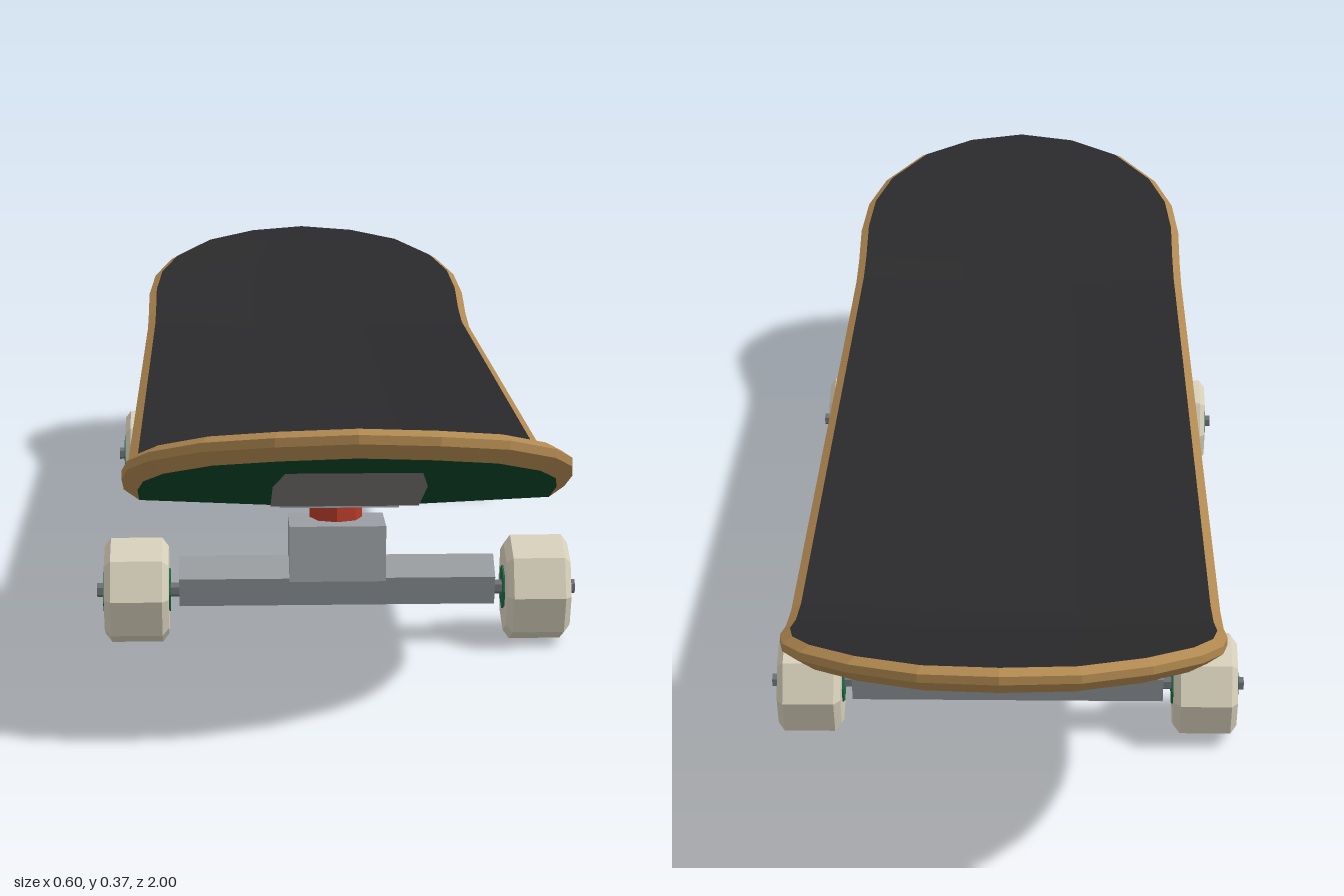
import * as THREE from 'three';

const mat = (color) => new THREE.MeshStandardMaterial({ color, flatShading: true });

const R = 0.258;        // outer half width, also radius of the rounded ends
const ARC = 0.742;      // where the rounded ends begin
const ANGLES = [0, 20, 40, 60, 75, 90].map(THREE.MathUtils.degToRad);
const COLUMNS = [-1, -0.35, 0.35, 1];

// Upward kick of nose and tail
function rise(z) {
  const a = Math.abs(z);
  if (a < 0.6) return 0;
  if (a < 0.67) return (a - 0.6) * 0.17;
  return 0.012 + (a - 0.67) * (z > 0 ? 0.373 : 0.335);
}

// Point on the bent deck, with slightly raised side edges
function deckPoint(x, y, z) {
  const lift = 0.008 * Math.max(0, Math.abs(x) - 0.087) / 0.17;
  return new THREE.Vector3(x, y + rise(z) + lift, z);
}

// [z, half width] from tail to nose for an outline inset by d
function stations(d) {
  const r = R - d;
  const nose = ANGLES.map((t) => [ARC + r * Math.cos(t), r * Math.sin(t)]);
  nose.push([0.67, r], [0.6, r], [0.2, r]);
  return [...nose.map(([z, w]) => [-z, w]), ...nose.reverse()];
}

// Surface through rows of points; empty triangles are left out
function gridMesh(name, rows, material) {
  const points = [];
  const tri = (a, b, c) => {
    if (new THREE.Triangle(a, b, c).getArea() > 1e-8) points.push(a, b, c);
  };
  for (let i = 0; i < rows.length - 1; i++) {
    for (let j = 0; j < rows[i].length - 1; j++) {
      const a = rows[i][j], b = rows[i][j + 1];
      const c = rows[i + 1][j], d = rows[i + 1][j + 1];
      tri(a, c, b);
      tri(b, c, d);
    }
  }
  const geometry = new THREE.BufferGeometry().setFromPoints(points);
  geometry.computeVertexNormals();
  const mesh = new THREE.Mesh(geometry, material);
  mesh.name = name;
  return mesh;
}

const sheet = (list, y, columns) =>
  list.map(([z, w]) => columns.map((t) => deckPoint(t * w, y, z)));

// Closed edge line: up the +x side, back down the -x side
function outline(d, y) {
  const list = stations(d);
  const loop = [
    ...list.map(([z, w]) => deckPoint(w, y, z)),
    ...list.slice(1).reverse().map(([z, w]) => deckPoint(-w, y, z)),
  ];
  return [...loop, loop[0]];
}

function createDeck() {
  const deck = new THREE.Group();
  deck.name = 'deck';
  const levels = [[0.018, 0.21], [0, 0.222], [0, 0.232], [0.012, 0.241]];
  const flipped = [...COLUMNS].reverse();
  const half = [[0.9, 0.075], [0.81, 0.087], [0.67, 0.087], [0.6, 0.087]];
  const stripe = [...half.map(([z, w]) => [-z, w]), ...half.reverse()];
  deck.add(
    gridMesh('gripSurface', sheet(stations(0.012), 0.241, COLUMNS), mat(0x2a2a2c)),
    gridMesh('woodEdge', levels.map(([d, y]) => outline(d, y)), mat(0xb08850)),
    gridMesh('underside', sheet(stations(0.018), 0.21, flipped), mat(0x0c4426)),
    gridMesh('undersideStripe', sheet(stripe, 0.208, [1, -1]), mat(0x7d7976)),
  );
  return deck;
}

function createTruck(name) {
  const truck = new THREE.Group();
  truck.name = name;
  const metal = mat(0x9a9ea2);
  const steel = mat(0x6c7074);
  const add = (part, geometry, material, x, y, z) => {
    const mesh = new THREE.Mesh(geometry, material);
    mesh.name = part;
    mesh.position.set(x, y, z);
    truck.add(mesh);
    return mesh;
  };
  // Cylinder lying along x with a corner pointing up
  const rod = (part, r, length, sides, material, x, y) => {
    const g = new THREE.CylinderGeometry(r, r, length, sides, 1, false, -Math.PI / 2);
    add(part, g.rotateZ(-Math.PI / 2), material, x, y, 0);
  };

  // Mounting plates, bushing and hanger
  add('riserPad', new THREE.BoxGeometry(0.16, 0.01, 0.172), steel, 0, 0.21, 0);
  add('basePlate', new THREE.BoxGeometry(0.146, 0.02, 0.156), metal, 0, 0.197, 0);
  add('bushing', new THREE.CylinderGeometry(0.033, 0.033, 0.036, 8), mat(0xb23a2a), 0, 0.171, -0.018);
  add('hangerBlock', new THREE.BoxGeometry(0.12, 0.07, 0.08), metal, 0, 0.12, 0);
  rod('hangerBar', 0.033, 0.394, 5, metal, 0, 0.077);
  rod('axle', 0.009, 0.6, 6, steel, 0, 0.067);

  // Chamfered wheels with hub discs
  const profile = [[0, -0.04], [0.056, -0.04], [0.067, -0.032], [0.067, 0.032], [0.056, 0.04], [0, 0.04]]
    .map(([r, h]) => new THREE.Vector2(r, h));
  const wheel = new THREE.LatheGeometry(profile, 8).rotateZ(-Math.PI / 2);
  for (const [side, s] of [['left', 1], ['right', -1]]) {
    add(side + 'Wheel', wheel, mat(0xd6cfba), s * 0.25, 0.067, 0);
    rod(side + 'Hub', 0.028, 0.084, 8, mat(0x1c6b42), s * 0.25, 0.067);
  }
  return truck;
}

export function createModel() {
  const model = new THREE.Group();
  model.name = 'skateboard';
  const front = createTruck('frontTruck');
  const rear = createTruck('rearTruck');
  front.position.z = 0.448;
  rear.position.z = -0.448;
  rear.rotation.y = Math.PI;
  model.add(createDeck(), front, rear);
  return model;
}
